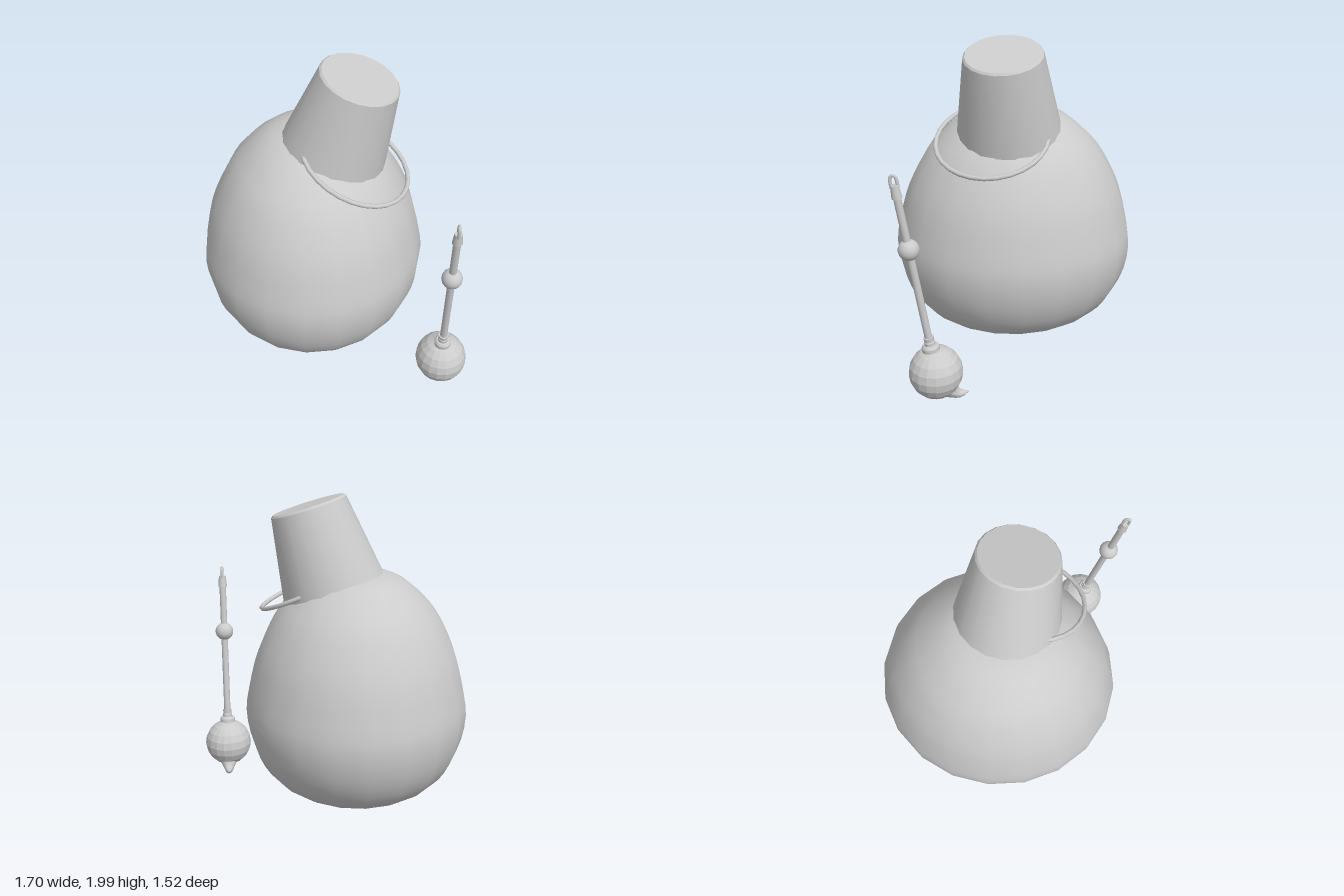
import * as THREE from 'three';
import { toCreasedNormals } from 'three/addons/utils/BufferGeometryUtils.js';

const smooth = new THREE.MeshStandardMaterial({ color: 0xcccccc });
const faceted = new THREE.MeshStandardMaterial({ color: 0xcccccc, flatShading: true });
const UP = new THREE.Vector3(0, 1, 0);

function part(parent, name, geometry, x = 0, y = 0, z = 0, material = smooth) {
  const mesh = new THREE.Mesh(geometry, material);
  mesh.name = name;
  mesh.position.set(x, y, z);
  parent.add(mesh);
  return mesh;
}

const points = (pairs) => pairs.map(([a, b]) => new THREE.Vector2(a, b));

// Tube whose radius follows a list of values along its path
function taperedTube(path, radii, segments, sides) {
  const curve = new THREE.CatmullRomCurve3(path);
  const geometry = new THREE.TubeGeometry(curve, segments, 1, sides);
  const pos = geometry.attributes.position;
  const p = new THREE.Vector3();
  for (let i = 0; i <= segments; i++) {
    const centre = curve.getPointAt(i / segments);
    const t = (i / segments) * (radii.length - 1);
    const k = Math.min(Math.floor(t), radii.length - 2);
    const r = THREE.MathUtils.lerp(radii[k], radii[k + 1], t - k);
    for (let j = 0; j <= sides; j++) {
      const n = i * (sides + 1) + j;
      p.fromBufferAttribute(pos, n).sub(centre).multiplyScalar(r).add(centre);
      pos.setXYZ(n, p.x, p.y, p.z);
    }
  }
  geometry.computeVertexNormals();
  return geometry;
}

export function createModel() {
  const model = new THREE.Group();

  // Egg-shaped body, slightly deeper than wide
  const profile = new THREE.SplineCurve(points([
    [0, 0.1], [0.3, 0.108], [0.59, 0.16], [0.77, 0.235], [0.89, 0.345], [0.97, 0.49],
    [1, 0.655], [0.97, 0.8], [0.91, 0.98], [0.84, 1.11], [0.75, 1.235], [0.64, 1.345],
    [0.44, 1.475], [0.24, 1.53], [0, 1.55],
  ])).getPoints(28);
  profile[0].x = profile[28].x = 0;
  part(model, 'body', new THREE.LatheGeometry(profile, 20), -0.155).scale.set(0.7, 1, 0.76);

  // Tilted tapered hat with a bevelled top edge
  const hat = part(model, 'hat', toCreasedNormals(new THREE.LatheGeometry(points([
    [0, -0.55], [0.326, -0.55], [0.237, -0.012], [0.225, 0], [0, 0],
  ]), 20), 0.5), 0.135, 1.932, 0.085);
  hat.quaternion.setFromUnitVectors(UP, new THREE.Vector3(0.3, 1, 0.09).normalize());

  // Loose ring hanging around the hat
  const ring = part(model, 'hatRing',
    new THREE.TorusGeometry(0.34, 0.014, 8, 28).rotateX(Math.PI / 2), 0.117, 1.416, 0.153);
  ring.quaternion.setFromUnitVectors(UP, new THREE.Vector3(0.434, 1, 0.137).normalize());

  // Two small drop-shaped feet, tips leaning inward
  for (const side of [1, -1]) {
    const foot = part(model, side > 0 ? 'frontFoot' : 'backFoot', new THREE.LatheGeometry(points([
      [0, -0.07], [0.018, -0.063], [0.034, -0.042], [0.045, -0.005], [0.044, 0.02], [0.03, 0.045], [0, 0.055],
    ]), 12), -0.175, 0.11, side * 0.17);
    foot.rotation.x = side * 0.35;
  }

  // Leaning staff; its origin is the centre of the heavy ball
  const staff = new THREE.Group();
  staff.name = 'staff';
  staff.position.set(0.69, 0.19, 0.528);
  staff.rotation.x = 0.153;
  model.add(staff);
  part(staff, 'shaft', new THREE.CylinderGeometry(0.022, 0.022, 1.0, 12), 0, 0.64);
  part(staff, 'collar', toCreasedNormals(new THREE.LatheGeometry(points([
    [0, 0.13], [0.052, 0.13], [0.052, 0.172], [0.042, 0.185], [0.032, 0.187],
    [0.032, 0.205], [0.028, 0.21], [0.031, 0.235], [0, 0.235],
  ]), 14), 0.6));
  part(staff, 'knob', new THREE.SphereGeometry(0.061, 16, 12), 0, 0.795);
  part(staff, 'socket', new THREE.CylinderGeometry(0.023, 0.03, 0.075, 12), 0, 1.143);

  // Needle-eye loop on the tip
  const loop = [[-0.018, 1.165], [-0.018, 1.2], [-0.014, 1.225], [0, 1.236],
    [0.014, 1.225], [0.018, 1.2], [0.018, 1.165]];
  part(staff, 'tipLoop', new THREE.TubeGeometry(new THREE.CatmullRomCurve3(
    loop.map(([z, y]) => new THREE.Vector3(0, y, z))), 18, 0.0095, 8));

  // Ball with a curled pointed tail
  part(model, 'staffBall', new THREE.SphereGeometry(0.159, 18, 10), 0.69, 0.19, 0.528, faceted);
  const tail = [[0.527, 0.165], [0.475, 0.093], [0.42, 0.042], [0.388, 0.031], [0.337, 0.044]];
  part(model, 'ballTail', taperedTube(
    tail.map(([z, y]) => new THREE.Vector3(0.69, y, z)),
    [0.13, 0.105, 0.08, 0.055, 0.036, 0.02, 0.001], 14, 14));

  return model;
}
